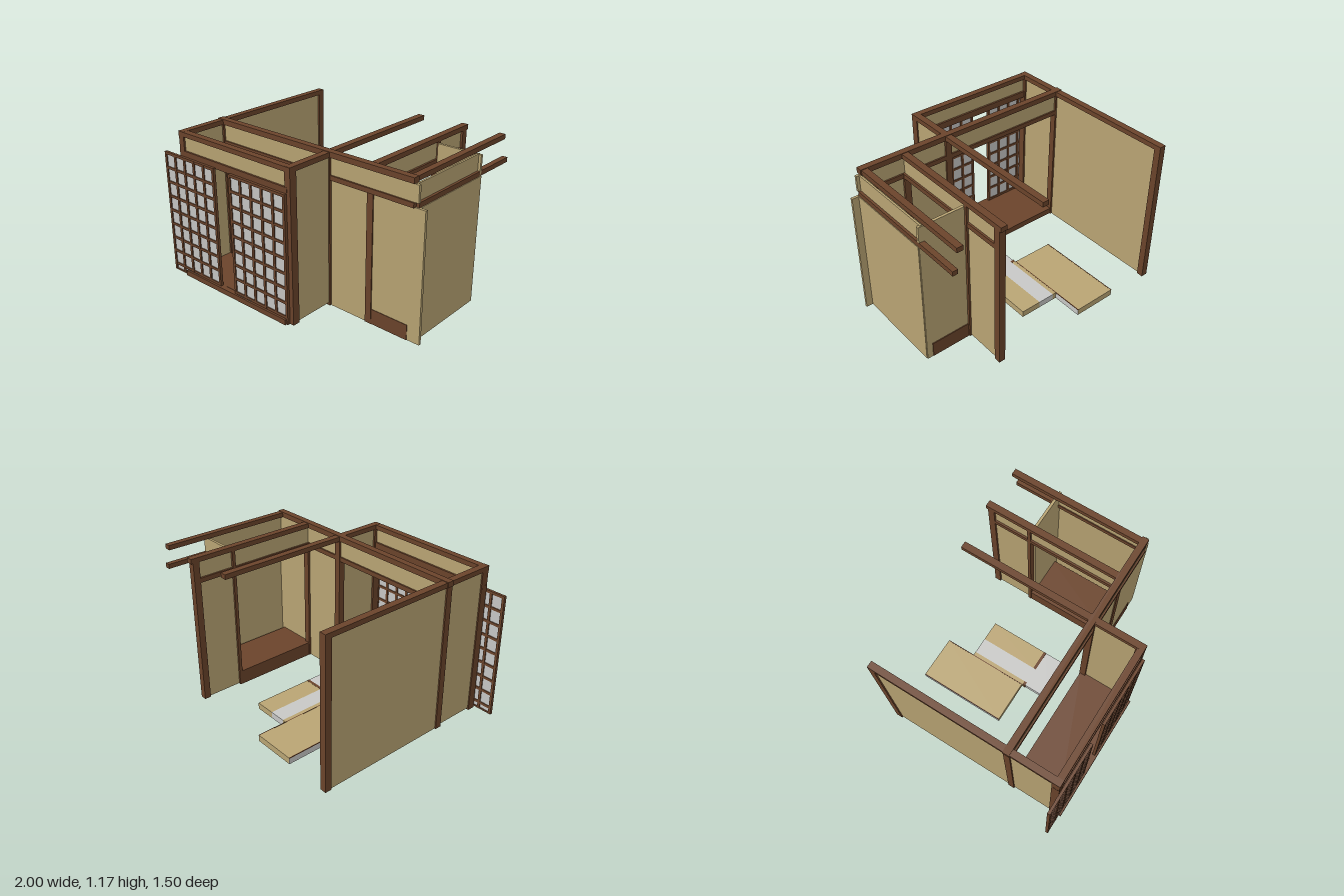
import * as THREE from 'three';

const wood = new THREE.MeshStandardMaterial({ color: 0x6b442b });
wood.name = 'brown wood';
const plaster = new THREE.MeshStandardMaterial({ color: 0xbaa574 });
plaster.name = 'tan plaster';
const paper = new THREE.MeshStandardMaterial({ color: 0xc8c8c6 });
paper.name = 'grey paper';

// Box given by its lower and upper bounds
function box(parent, name, material, x0, x1, y0, y1, z0, z1) {
  const mesh = new THREE.Mesh(new THREE.BoxGeometry(x1 - x0, y1 - y0, z1 - z0), material);
  mesh.position.set((x0 + x1) / 2, (y0 + y1) / 2, (z0 + z1) / 2);
  mesh.name = name;
  parent.add(mesh);
  return mesh;
}

function group(parent, name) {
  const g = new THREE.Group();
  g.name = name;
  parent.add(g);
  return g;
}

// Sliding lattice screen, 5 columns wide
function screen(parent, name, x0) {
  const g = group(parent, name);
  const w = 0.53, y0 = 0.025, y1 = 0.985, z0 = 0.712, z1 = 0.734;
  box(g, 'screenPaper', paper, x0 + 0.005, x0 + w - 0.005, y0 + 0.005, y1 - 0.005, 0.72, 0.726);
  for (let i = 0; i <= 5; i++) {
    const x = x0 + 0.01 + (i * (w - 0.02)) / 5;
    box(g, 'screenUpright', wood, x - 0.01, x + 0.01, y0, y1, z0, z1);
  }
  for (let i = 0; i <= 8; i++) {
    const y = y1 - 0.01 - i * 0.1122;
    box(g, 'screenCrossbar', wood, x0, x0 + w, y - 0.01, y + 0.01, z0 + 0.001, z1 - 0.001);
  }
  box(g, 'screenBottomBar', wood, x0, x0 + w, y0, y0 + 0.012, z0 + 0.001, z1 - 0.001);
}

export function createModel() {
  const model = new THREE.Group();
  model.name = 'japaneseRoom';

  // Upper ring of beams
  const beams = group(model, 'topBeams');
  const T0 = 1.13, T1 = 1.166;
  box(beams, 'leftTopBeam', wood, -0.85, -0.8, T0, T1, -0.75, 0.71);
  box(beams, 'frontTopBeam', wood, -0.849, 0.239, T0, T1 - 0.001, 0.66, 0.709);
  box(beams, 'middleTopBeam', wood, -0.855, 0.92, T0, T1 + 0.004, 0.29, 0.34);
  box(beams, 'centreTopBeam', wood, 0.19, 0.24, T0, T1, -0.72, 0.705);
  box(beams, 'alcoveTopBeam', wood, 0.55, 0.6, T0, T1, -0.755, 0.3);
  box(beams, 'rightTopBeam', wood, 0.865, 0.912, T0, T1, -0.74, 0.3);

  // Lower lintels
  const lintels = group(model, 'lintels');
  const L0 = 0.97, L1 = 1.005;
  box(lintels, 'middleLintel', wood, -0.81, 0.92, L0, L1, 0.293, 0.337);
  box(lintels, 'frontLintel', wood, -0.85, 0.21, 0.975, 1.025, 0.66, 0.709);
  box(lintels, 'alcoveLintel', wood, 0.552, 0.598, L0, L1, -0.73, 0.3);
  box(lintels, 'rightLintel', wood, 0.905, 0.945, L0, L1, -0.735, 0.31);

  // Posts: x0, x1, z0, z1, bottom
  const posts = group(model, 'posts');
  [
    [-0.85, -0.8, -0.75, -0.7, 0.015],
    [-0.85, -0.8, 0.29, 0.34, 0.015],
    [-0.849, -0.8, 0.65, 0.708, 0.015],
    [0.19, 0.239, 0.65, 0.708, 0.02],
    [0.19, 0.24, 0.29, 0.34, 0.01],
    [0.55, 0.6, -0.74, -0.69, 0.015],
    [0.55, 0.6, -0.415, -0.39, 0.01],
  ].forEach(([x0, x1, z0, z1, y0]) => box(posts, 'post', wood, x0, x1, y0, T0, z0, z1));
  box(posts, 'alcoveFrontPost', wood, 0.55, 0.6, 0.005, L0, 0.285, 0.33);

  // Plaster walls
  const walls = group(model, 'walls');
  box(walls, 'leftWall', plaster, -0.84, -0.815, 0.015, T0, -0.7, 0.29);
  box(walls, 'porchLeftWall', plaster, -0.84, -0.815, 0.03, T0, 0.34, 0.65);
  box(walls, 'porchRightWall', plaster, 0.205, 0.23, 0.03, T0, 0.34, 0.65);
  box(walls, 'frontWall', plaster, 0.24, 1.0, 0.005, L0, 0.302, 0.322);
  box(walls, 'alcoveSideWall', plaster, 0.565, 0.585, 0.015, L0, -0.69, -0.415);
  box(walls, 'alcoveBackWall', plaster, 0.6, 0.945, 0, 1.12, -0.396, -0.376);
  box(walls, 'rightWall', plaster, 0.925, 0.95, 0.003, L0, -0.39, 0.31);

  // Plaster panels above the lintels
  const transoms = group(model, 'transoms');
  box(transoms, 'middleTransom', plaster, -0.8, 0.92, L1, T0, 0.305, 0.325);
  box(transoms, 'frontTransom', plaster, -0.8, 0.19, 1.025, T0, 0.675, 0.695);
  box(transoms, 'alcoveTransom', plaster, 0.567, 0.583, L1, T0, -0.69, 0.3);
  box(transoms, 'rightTransom', plaster, 0.912, 0.926, L1, 1.125, -0.39, 0.31);
  box(transoms, 'transomEnd', plaster, 0.912, 0.948, L1, 1.125, 0.305, 0.325);

  // Wooden floors and sliding track
  const floors = group(model, 'floors');
  box(floors, 'porchFloor', wood, -0.815, 0.205, 0.022, 0.07, 0.295, 0.705);
  box(floors, 'alcovePlatform', wood, 0.555, 0.9, 0.004, 0.12, -0.402, 0.326);
  box(floors, 'screenTrack', wood, -0.845, 0.2, 0.03, 0.07, 0.705, 0.711);
  box(floors, 'screenTrackLip', wood, -0.845, 0.2, 0.027, 0.068, 0.7345, 0.75);
  box(floors, 'screenTrackBase', wood, -0.48, -0.32, 0.03, 0.068, 0.71, 0.7345);

  // Sliding screens
  const screens = group(model, 'slidingScreens');
  screen(screens, 'leftScreen', -1.0);
  screen(screens, 'rightScreen', -0.32);

  // Floor mats
  const mats = group(model, 'floorMats');
  const M0 = 0.01, M1 = 0.06;
  box(mats, 'longMat', plaster, -0.468, -0.132, M0, M1, -0.74, -0.045);
  for (const x of [-0.468, -0.132]) {
    box(mats, 'longMatSide', paper, x - 0.002, x + 0.002, M0, M1 - 0.004, -0.74, -0.045);
    box(mats, 'longMatEdge', wood, x - 0.003, x + 0.003, M1 - 0.004, M1 + 0.001, -0.74, -0.045);
  }
  box(mats, 'greyMatStem', paper, -0.1, 0.03, M0, M1, -0.505, 0);
  box(mats, 'greyMatHead', paper, -0.125, 0.19, M0, M1, -0.02, 0.18);
  box(mats, 'greyMatEdge', wood, -0.125, 0.19, M1 - 0.004, M1, 0.18, 0.186);
  for (const [x0, x1] of [[-0.13, -0.1], [0.03, 0.19]]) {
    box(mats, 'crossMat', plaster, x0, x1, M0, M1, -0.505, -0.035);
    box(mats, 'crossMatEdge', wood, x0, x1, M0 + 0.002, M1 + 0.001, -0.04, -0.018);
  }

  return model;
}
